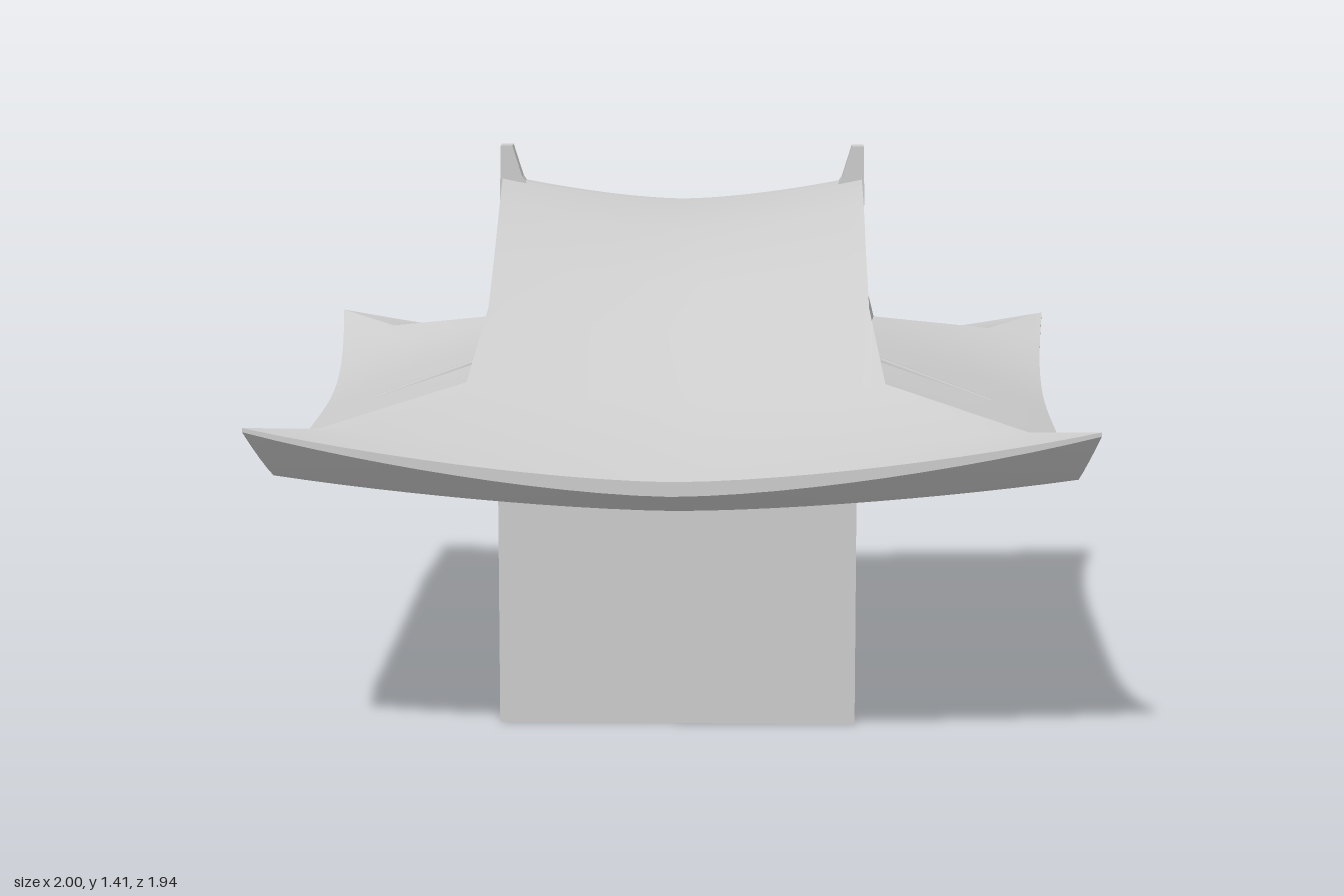
import * as THREE from 'three';
import { toCreasedNormals } from 'three/addons/utils/BufferGeometryUtils.js';

const material = new THREE.MeshStandardMaterial({ color: 0xcccccc, side: THREE.DoubleSide });
const N = 24; // samples across each roof sheet

// Gable edge and hip line, from the ridge end down to the eave corner:
// edge point x, y, z | middle of front slope y, z | middle of side slope x, y
const RIBS = [
  [0.46, 1.33, 0.0, 1.27, 0.0, 0.455, 1.33],
  [0.46, 1.33, 0.022, 1.27, 0.022, 0.455, 1.33],
  [0.465, 1.27, 0.06, 1.2, 0.06, 0.46, 1.27],
  [0.47, 1.14, 0.2, 1.08, 0.2, 0.46, 1.14],
  [0.475, 1.035, 0.32, 0.975, 0.32, 0.462, 1.035],
  [0.51, 0.885, 0.56, 0.835, 0.56, 0.485, 0.86],
  [0.84, 0.815, 0.82, 0.755, 0.82, 0.8, 0.75],
  [1.0, 0.84, 0.955, 0.72, 0.97, 0.97, 0.67],
];

// Soffit surface, u and v from -1 to 1
function soffitPoint(u, v) {
  const a = Math.abs(u), b = Math.abs(v);
  const sag = a ** 1.6;
  const lift = Math.max(0, (b - 0.67) / 0.33);
  return [
    u * (0.97 + 0.03 * b ** 4),
    0.585 + 0.065 * sag + 0.1 * lift + 0.08 * sag * b ** 4,
    v * (0.97 - 0.015 * a ** 8),
  ];
}

// Skin a grid of points; rows x columns gives the outward side
function loft(rows) {
  const n = rows[0].length, index = [];
  for (let r = 0; r < rows.length - 1; r++) {
    for (let c = 0; c < n - 1; c++) {
      const a = r * n + c, b = a + n;
      index.push(a, b, a + 1, b, b + 1, a + 1);
    }
  }
  const g = new THREE.BufferGeometry();
  g.setAttribute('position', new THREE.Float32BufferAttribute(rows.flat(2), 3));
  g.setIndex(index);
  return toCreasedNormals(g, 0.6);
}

const across = (f) => Array.from({ length: N + 1 }, (_, i) => f((2 * i) / N - 1));
const mix = THREE.MathUtils.lerp;

export function createModel() {
  const model = new THREE.Group();
  const add = (name, geometry, turn = 0) => {
    const mesh = new THREE.Mesh(geometry, material);
    mesh.name = name;
    mesh.rotation.y = turn;
    model.add(mesh);
    return mesh;
  };

  // Square building body
  add('body', new THREE.BoxGeometry(0.89, 0.62, 0.89)).position.y = 0.31;

  // Front and back slopes sag in the middle; the last row closes the eave edge
  const slope = RIBS.map(([x, y, z, my, mz]) => across((u) => {
    const a = Math.abs(u);
    return [u * x, mix(my, y, a ** 1.6), mix(mz, z, a ** 8)];
  }));
  slope.push(across((u) => soffitPoint(u, 1)));
  const slopeGeometry = loft(slope);
  add('frontSlope', slopeGeometry);
  add('backSlope', slopeGeometry, Math.PI);

  // Gable walls flowing into the side slopes
  const side = RIBS.slice(1).map(([x, y, z, , , mx, my]) => across((v) => {
    const k = v ** 4;
    return [mix(mx, x, k), mix(my, y, k), -v * z];
  }));
  side.push(across((v) => soffitPoint(1, -v)));
  const sideGeometry = loft(side);
  add('leftSlope', sideGeometry);
  add('rightSlope', sideGeometry, Math.PI);

  // Curved soffit under the whole roof
  add('soffit', loft(across((u) => across((v) => soffitPoint(u, v)))));

  // Ridge-end finials
  const finial = new THREE.Shape([
    [0.39, 1.3], [0.41, 1.33], [0.435, 1.41], [0.465, 1.41], [0.468, 1.26], [0.43, 1.26],
  ].map(([x, y]) => new THREE.Vector2(x, y)));
  const finialGeometry = new THREE.ExtrudeGeometry(finial, { depth: 0.05, bevelEnabled: false });
  finialGeometry.translate(0, 0, -0.025);

  // Slim rib running down each gable and out over the side slope
  const rib = new THREE.CurvePath();
  const path = [[0.457, 1.3], [0.462, 1.035], [0.485, 0.862], [0.8, 0.745]]
    .map(([x, y]) => new THREE.Vector3(x, y, 0));
  for (let i = 1; i < path.length; i++) rib.add(new THREE.LineCurve3(path[i - 1], path[i]));
  const ribGeometry = new THREE.TubeGeometry(rib, 24, 0.01, 6);

  for (const [label, turn] of [['left', 0], ['right', Math.PI]]) {
    add(label + 'Finial', finialGeometry, turn);
    add(label + 'GableRib', ribGeometry, turn);
  }
  return model;
}
